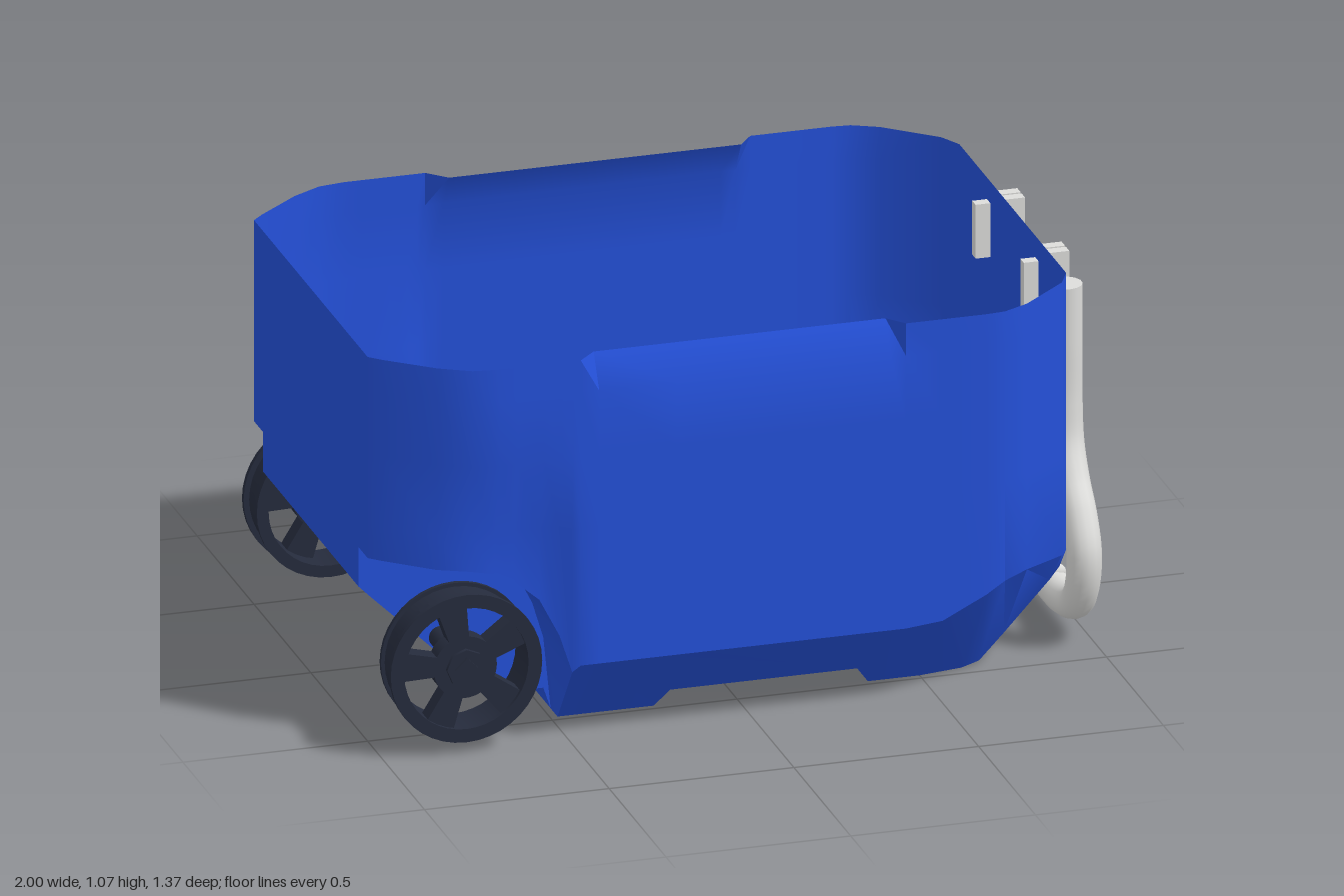
import * as THREE from 'three';
import { toCreasedNormals } from 'three/addons/utils/BufferGeometryUtils.js';

const material = (name, color, side = THREE.FrontSide) => {
  const m = new THREE.MeshStandardMaterial({ color, side });
  m.name = name;
  return m;
};

function add(parent, name, geometry, mat, x = 0, y = 0, z = 0) {
  const mesh = new THREE.Mesh(geometry, mat);
  mesh.name = name;
  mesh.position.set(x, y, z);
  parent.add(mesh);
  return mesh;
}

// Joins mirrored cross-sections (lists of [z, y], rim to keel) placed along x
function loft(sections) {
  const rings = sections.map(({ x, half }) => [
    ...half.map(([z, y]) => new THREE.Vector3(x, y, z)),
    ...half.slice(0, -1).reverse().map(([z, y]) => new THREE.Vector3(x, y, -z)),
  ]);
  const pos = [];
  const u = new THREE.Vector3(), v = new THREE.Vector3();
  const tri = (a, b, c) => {
    if (u.subVectors(b, a).cross(v.subVectors(c, a)).length() < 1e-7) return;
    for (const p of [a, b, c]) pos.push(p.x, p.y, p.z);
  };
  const quad = (a, b, c, d) => { tri(a, b, c); tri(a, c, d); };
  const n = rings[0].length;
  for (let i = 0; i + 1 < rings.length; i++)
    for (let j = 0; j + 1 < n; j++)
      quad(rings[i][j], rings[i][j + 1], rings[i + 1][j + 1], rings[i + 1][j]);
  // flat end walls
  const first = rings[0], last = rings[rings.length - 1];
  for (let j = 0; j < (n - 1) / 2; j++) {
    const k = n - 1 - j;
    quad(last[j], last[j + 1], last[k - 1], last[k]);
    quad(first[k], first[k - 1], first[j + 1], first[j]);
  }
  const g = new THREE.BufferGeometry();
  g.setAttribute('position', new THREE.Float32BufferAttribute(pos, 3));
  return toCreasedNormals(g, 0.6);
}

function tubGeometry() {
  const TOP = 1.07;
  // wheel end: x, half width, arch height, keel height, inset of the lower wall
  const rear = [
    [-1, 0.5, 0.51, 0.4, 0], [-0.97, 0.53, 0.51, 0.37, 0], [-0.85, 0.63, 0.505, 0.254, 0.01],
    [-0.77, 0.675, 0.5, 0.176, 0.03], [-0.7, 0.685, 0.485, 0.11, 0.04], [-0.65, 0.685, 0.46, 0.06, 0.04],
    [-0.58, 0.685, 0.4, 0.06, 0.04], [-0.53, 0.685, 0.3, 0.06, 0.025], [-0.5, 0.685, 0.2, 0.06, 0.01],
  ].map(([x, w, arch, keel, inset]) => ({
    x,
    half: [[w, TOP], [w, 0.98], [w, 0.8], [w - inset, 0.6], [w - inset, arch], [0.42, arch], [0.42, keel], [0, keel]],
  }));
  // main tub: x, half width, chamfer height, floor half width, floor height, rim half width
  const main = [
    [-0.48, 0.685, 0.22, 0.48, 0, 0.685], [-0.43, 0.685, 0.22, 0.48, 0, 0.635],
    [-0.22, 0.685, 0.22, 0.48, 0, 0.635], [-0.19, 0.685, 0.22, 0.53, 0.06, 0.635],
    [0.32, 0.685, 0.22, 0.53, 0.06, 0.635], [0.36, 0.685, 0.22, 0.48, 0, 0.635],
    [0.4, 0.685, 0.22, 0.48, 0, 0.685], [0.5, 0.685, 0.23, 0.48, 0, 0.685],
    [0.62, 0.685, 0.29, 0.46, 0, 0.685], [0.67, 0.68, 0.32, 0.45, 0.01, 0.68],
    [0.74, 0.645, 0.33, 0.44, 0.075, 0.645], [0.87, 0.53, 0.31, 0.42, 0.2, 0.53],
    [0.9, 0.47, 0.3, 0.41, 0.23, 0.47],
  ].map(([x, w, h, f, b, rim]) => ({
    x,
    half: [[rim, TOP], [w, 0.98], [w, 0.8], [w, 0.6], [w, h], [f, b], [Math.min(0.42, f), b], [0, b]],
  }));
  return loft([...rear, ...main]);
}

// Wheel disc with five openings between the spokes
function spokeGeometry() {
  const shape = new THREE.Shape();
  shape.absarc(0, 0, 0.19, 0, Math.PI * 2);
  for (let i = 0; i < 5; i++) {
    const a = THREE.MathUtils.degToRad(66 + i * 72);
    const hole = new THREE.Path();
    hole.absarc(0, 0, 0.175, a - 0.4, a + 0.4, false);
    hole.absarc(0, 0, 0.085, a + 0.3, a - 0.3, true);
    hole.closePath();
    shape.holes.push(hole);
  }
  return new THREE.ExtrudeGeometry(shape, { depth: 0.05, bevelEnabled: false, curveSegments: 20 });
}

function ringGeometry(outer, inner, depth) {
  const shape = new THREE.Shape();
  shape.absarc(0, 0, outer, 0, Math.PI * 2);
  const hole = new THREE.Path();
  hole.absarc(0, 0, inner, 0, Math.PI * 2);
  shape.holes.push(hole);
  const g = new THREE.ExtrudeGeometry(shape, { depth, bevelEnabled: false, curveSegments: 20 });
  return toCreasedNormals(g, 0.6);
}

export function createModel() {
  const model = new THREE.Group();
  model.name = 'wheeledCooler';
  const blue = material('bluePlastic', 0x2450d8, THREE.DoubleSide);
  const white = material('lightGreyPlastic', 0xdcdcda);
  const black = material('blackRubber', 0x1c1c1c);
  const navy = material('darkWheelPlastic', 0x252b3c);

  add(model, 'tub', tubGeometry(), blue);

  // Axle and wheels
  const axle = add(model, 'axle', new THREE.CylinderGeometry(0.03, 0.03, 1.24, 16), navy, -0.78, 0.235, 0);
  axle.rotation.x = Math.PI / 2;
  for (const s of [1, -1]) {
    const wheel = new THREE.Group();
    wheel.name = s > 0 ? 'leftWheel' : 'rightWheel';
    wheel.position.set(-0.78, 0.235, s * 0.54);
    if (s < 0) wheel.rotation.y = Math.PI;
    if (s < 0) wheel.scale.x = -1;
    add(wheel, 'tread', ringGeometry(0.19, 0.168, 0.105), navy);
    add(wheel, 'innerFlange', ringGeometry(0.2, 0.168, 0.012), navy);
    add(wheel, 'outerFlange', ringGeometry(0.205, 0.168, 0.015), navy, 0, 0, 0.1);
    add(wheel, 'spokes', spokeGeometry(), navy, 0, 0, 0.055);
    const hub = add(wheel, 'hub', new THREE.CylinderGeometry(0.052, 0.06, 0.11, 8), navy, 0, 0, 0.06);
    hub.rotation.x = Math.PI / 2;
    add(wheel, 'hubNut', new THREE.BoxGeometry(0.045, 0.045, 0.02), navy, 0, 0, 0.113).rotation.z = Math.PI / 4;
    model.add(wheel);
  }

  // Pull handle: a wide loop with two upright posts
  const handle = new THREE.Group();
  handle.name = 'pullHandle';
  model.add(handle);
  const side = [
    [0.28, 0.96], [0.28, 0.8], [0.28, 0.64], [0.295, 0.53], [0.345, 0.44], [0.41, 0.365],
    [0.45, 0.28], [0.435, 0.185], [0.385, 0.12], [0.29, 0.088], [0.15, 0.082],
  ];
  const X = 0.955;
  const path = [...side, [0, 0.08], ...side.slice().reverse().map(([z, y]) => [-z, y])]
    .map(([z, y]) => new THREE.Vector3(X, y, z));
  add(handle, 'handleLoop', new THREE.TubeGeometry(new THREE.CatmullRomCurve3(path), 120, 0.046, 14), white);
  for (let i = -3; i <= 3; i++) {
    const ridge = add(handle, 'fingerRidge', new THREE.SphereGeometry(0.025, 12, 8), white, X, 0.122, i * 0.062);
    ridge.scale.set(1.3, 1, 0.7);
  }

  // Clips that hook the handle to the wall
  const arm = [
    [0.165, 0.87], [0.23, 0.87], [0.21, 0.82], [0.232, 0.74], [0.232, 0.63],
    [0.175, 0.63], [0.175, 0.715], [0.205, 0.722], [0.2, 0.76], [0.165, 0.82],
  ];
  for (const s of [1, -1]) {
    add(handle, 'postCap', new THREE.CylinderGeometry(0.046, 0.046, 0.012, 14), white, X, 0.957, s * 0.28);
    const clip = new THREE.Group();
    clip.name = s > 0 ? 'leftClip' : 'rightClip';
    const shape = new THREE.Shape(arm.map(([z, y]) => new THREE.Vector2(z * s, y)));
    const g = new THREE.ExtrudeGeometry(shape, { depth: 0.065, bevelEnabled: false });
    g.rotateY(-Math.PI / 2);
    add(clip, 'clipArm', g, white, 0.985);
    for (const z of [0.176, 0.214])
      add(clip, 'clipTine', new THREE.BoxGeometry(0.075, 0.175, 0.03), white, 0.945, 0.9425, s * z);
    add(clip, 'clipWeb', new THREE.BoxGeometry(0.05, 0.16, 0.02), white, 0.94, 0.935, s * 0.195);
    add(clip, 'clipHook', new THREE.BoxGeometry(0.07, 0.15, 0.03), white, 0.895, 0.935, s * 0.212);
    handle.add(clip);
  }

  // Soft carry grip between the clips
  const profile = [[0, -0.18], [0.034, -0.18], [0.037, -0.13], [0.041, -0.08], [0.038, -0.04],
    [0.043, 0], [0.038, 0.04], [0.042, 0.08], [0.037, 0.13], [0.034, 0.18], [0, 0.18]]
    .map(([r, y]) => new THREE.Vector2(r, y));
  const grip = add(model, 'carryGrip', new THREE.LatheGeometry(profile, 16), black, 0.957, 0.67, 0);
  grip.rotation.x = Math.PI / 2;

  return model;
}
